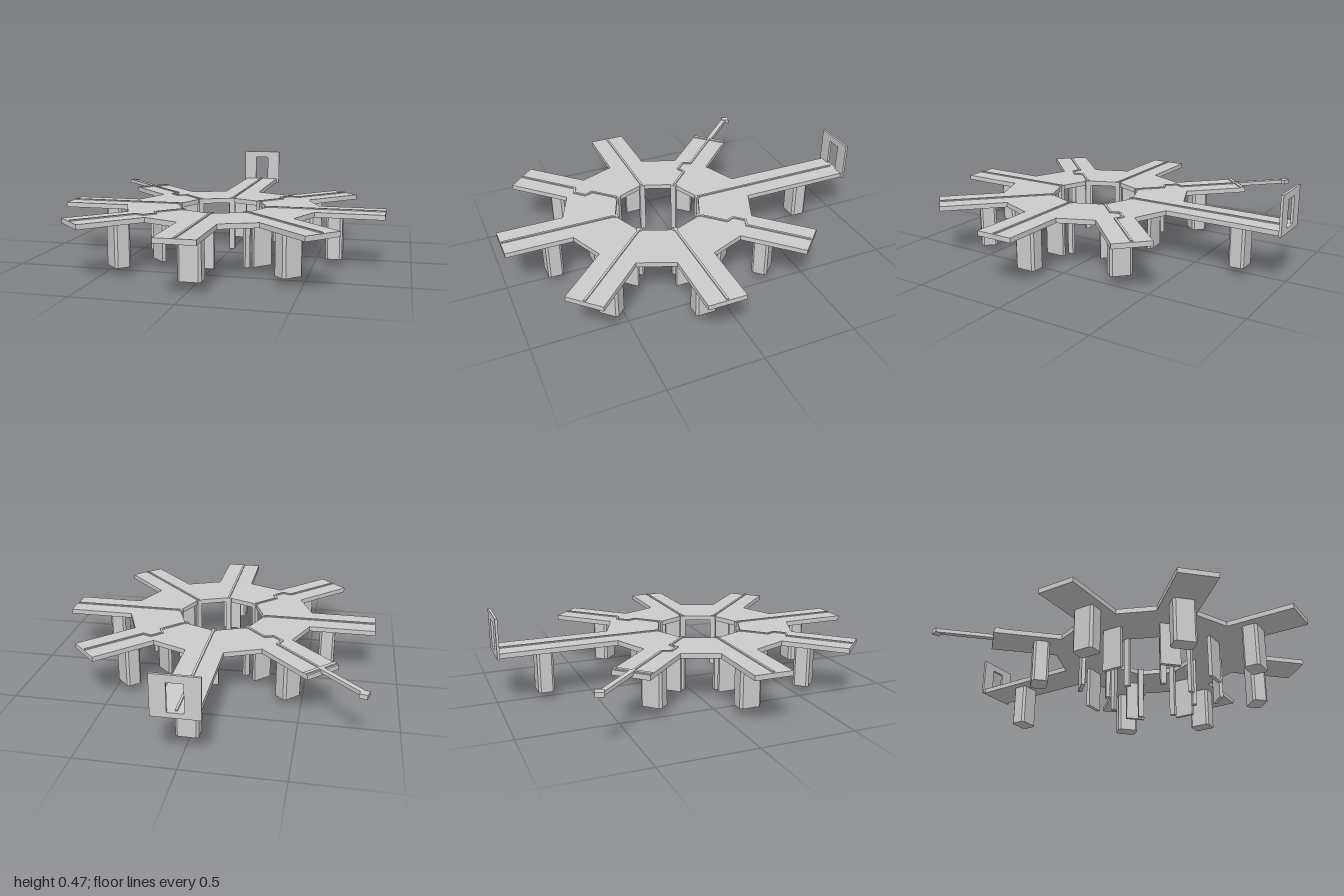
import * as THREE from 'three';

const material = new THREE.MeshStandardMaterial({ color: 0xcccccc, flatShading: true });
const BASE = 0.265, TOP = 0.291;          // underside and top of the deck
const ARMS = 8, HALF = 0.1, ROOT = 0.507; // arm count, half width, radius where arms meet
const HOLE = 0.245;

export function createModel() {
  const model = new THREE.Group();
  model.name = 'platform';

  const add = (parent, geometry, name) => {
    const mesh = new THREE.Mesh(geometry, material);
    mesh.name = name;
    parent.add(mesh);
    return mesh;
  };
  // box given by centre x and z, and by bottom and top heights
  const block = (parent, name, x, z, w, d, y0, y1) => {
    const mesh = add(parent, new THREE.BoxGeometry(w, y1 - y0, d), name);
    mesh.position.set(x, (y0 + y1) / 2, z);
    return mesh;
  };
  // raised strip that follows a path of [sideways, outward] points
  const rail = (parent, path) => {
    for (let i = 1; i < path.length; i++) {
      const [x0, z0] = path[i - 1], [x1, z1] = path[i];
      const length = Math.hypot(x1 - x0, z1 - z0);
      const strip = block(parent, 'rail', (x0 + x1) / 2, (z0 + z1) / 2, 0.012, length + 0.008, TOP - 0.002, TOP + 0.006);
      strip.rotation.y = Math.atan2(x1 - x0, z1 - z0);
    }
  };
  const armLength = k => (k === 4 ? 1.122 : k % 2 ? 0.86 : 0.862);

  // star-shaped deck with an octagonal opening
  const outline = [], opening = [];
  for (let k = 0; k < ARMS; k++) {
    const a = k * Math.PI / 4, s = Math.sin(a), c = Math.cos(a), L = armLength(k);
    for (const [t, r] of [[-HALF, ROOT], [-HALF, L], [HALF, L], [HALF, ROOT]]) {
      outline.push(new THREE.Vector2(r * s + t * c, -(r * c - t * s)));
    }
    opening.push(new THREE.Vector2(HOLE * s, -HOLE * c));
  }
  const star = new THREE.Shape(outline);
  star.holes.push(new THREE.Path(opening));
  const deck = new THREE.ExtrudeGeometry(star, { depth: TOP - BASE, bevelEnabled: false });
  deck.rotateX(-Math.PI / 2).translate(0, BASE, 0);
  add(model, deck, 'deck');

  // outer pillar section with chamfered corners
  const w = 0.0575, d = 0.0425, b = 0.012;
  const section = new THREE.Shape([
    [w - b, -d], [w, b - d], [w, d - b], [w - b, d], [b - w, d], [-w, d - b], [-w, b - d], [b - w, -d],
  ].map(p => new THREE.Vector2(...p)));
  const pillar = new THREE.ExtrudeGeometry(section, { depth: BASE - 0.04, bevelEnabled: false });
  pillar.rotateX(-Math.PI / 2).translate(0, 0.04, 0);

  // supports and rails of each arm; local z points outward
  for (let k = 0; k < ARMS; k++) {
    const arm = new THREE.Group();
    arm.name = 'arm';
    arm.rotation.y = k * Math.PI / 4;
    model.add(arm);
    const L = armLength(k);

    add(arm, pillar, 'outerPillar').position.z = k === 4 ? 0.885 : 0.605;
    block(arm, 'innerPanel', 0, 0.38, 0.105, 0.02, 0.04, BASE);
    block(arm, 'innerPost', 0, 0.24, 0.03, 0.022, 0, TOP + 0.003);

    const jogged = k === 3 || k === 5 || k === 7;
    rail(arm, jogged
      ? [[0, HOLE], [0, 0.4], [0.045, 0.42], [0.045, 0.49], [0, 0.51], [0, L - 0.01]]
      : [[0, HOLE], [0, L - 0.01]]);

    // boom reaching out past the end of the rear right arm
    if (k === 5) {
      block(arm, 'boomMount', 0, 0.84, 0.2, 0.02, TOP - 0.002, TOP + 0.006);
      block(arm, 'boom', 0, 0.99, 0.028, 0.3, 0.278, 0.298);
      const head = block(arm, 'boomHead', -0.006, 1.145, 0.042, 0.04, 0.276, 0.3);
      head.rotation.y = 0.5;
    }

    // upright doorway at the end of the long rear arm
    if (k === 4) {
      const frame = new THREE.Shape([
        [-0.117, BASE], [0.117, BASE], [0.117, 0.475], [-0.117, 0.475],
      ].map(p => new THREE.Vector2(...p)));
      frame.holes.push(new THREE.Path([
        [-0.04, TOP], [-0.04, 0.437], [0.04, 0.437], [0.04, TOP],
      ].map(p => new THREE.Vector2(...p))));
      const gate = new THREE.ExtrudeGeometry(frame, { depth: 0.013, bevelEnabled: false });
      add(arm, gate, 'gate').position.z = L;
    }
  }

  model.position.z = 0.135;
  const root = new THREE.Group();
  root.add(model);
  return root;
}
